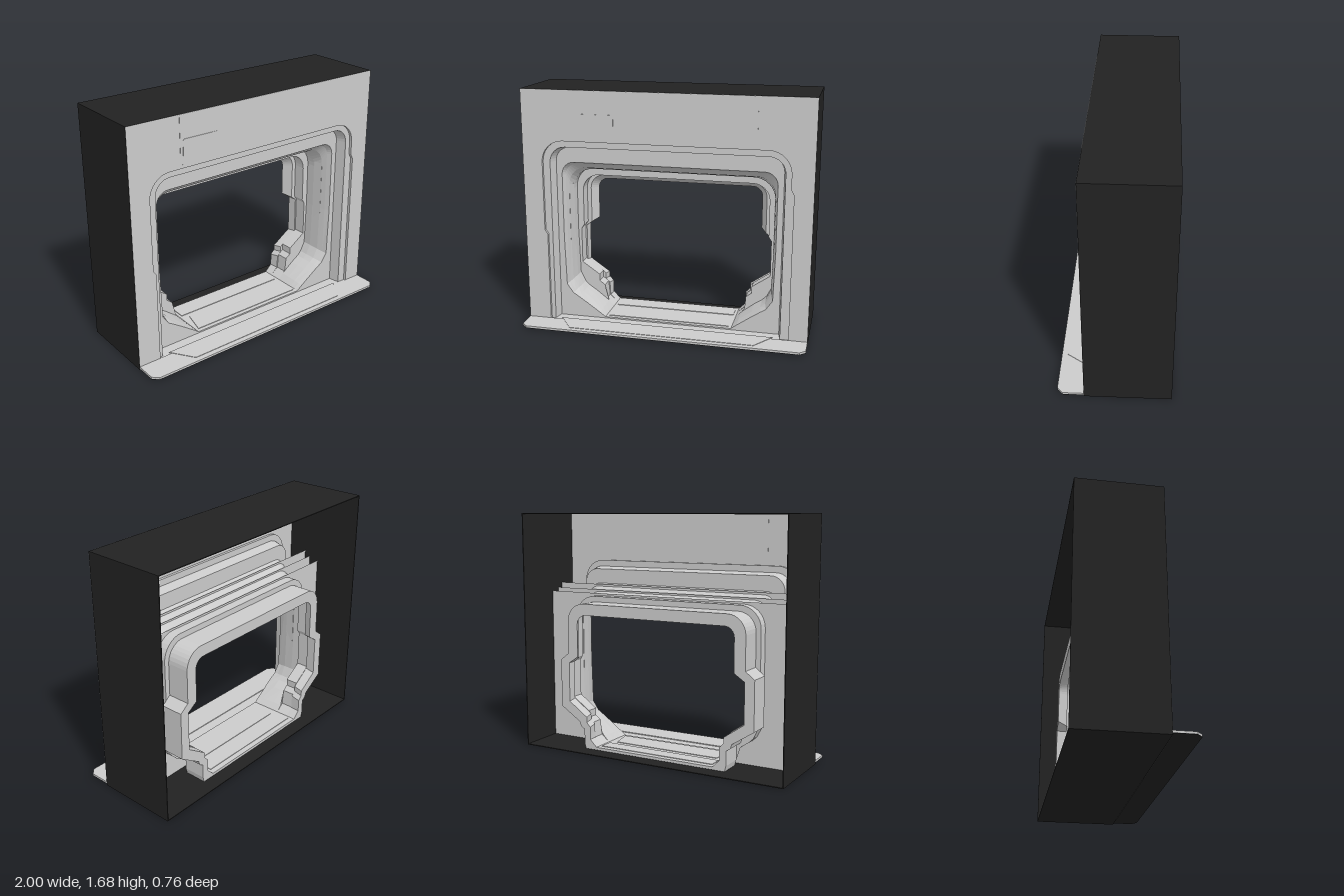
import * as THREE from 'three';

const GREY = new THREE.MeshStandardMaterial({ color: 0xcccccc, side: THREE.DoubleSide, flatShading: true });
const BLACK = new THREE.MeshStandardMaterial({ color: 0x222222, side: THREE.DoubleSide, flatShading: true });

// Closed opening outline: side points (bottom to top) and rounded top corners.
function outline(top, r, right, left = right) {
  const half = (pts) => {
    const out = pts.map(([x, y]) => new THREE.Vector2(x, y));
    const w = pts[pts.length - 1][0];
    for (let i = 0; i <= 8; i++) {
      const a = (i / 8) * Math.PI / 2;
      out.push(new THREE.Vector2(w - r + r * Math.cos(a), top - r + r * Math.sin(a)));
    }
    return out;
  };
  const mirrored = half(left).map((p) => new THREE.Vector2(-p.x, p.y)).reverse();
  return [...half(right), ...mirrored];
}

const blend = (a, b, t) => a.map((p, i) => p.clone().lerp(b[i], t));

// Skin through a chain of [outline, z] sections.
function loft(sections) {
  const pos = [], index = [], n = sections[0][0].length;
  for (const [pts, z] of sections) for (const p of pts) pos.push(p.x, p.y, z);
  for (let s = 0; s < sections.length - 1; s++) {
    for (let i = 0; i < n; i++) {
      const a = s * n + i, b = s * n + (i + 1) % n;
      index.push(a, a + n, b, b, a + n, b + n);
    }
  }
  const g = new THREE.BufferGeometry();
  g.setAttribute('position', new THREE.Float32BufferAttribute(pos, 3));
  g.setIndex(index);
  g.computeVertexNormals();
  return g;
}

// Flat sheet with one hole, at depth z.
function sheet(outer, hole, z) {
  const s = new THREE.Shape(outer);
  s.holes.push(new THREE.Path(hole));
  return new THREE.ShapeGeometry(s).translate(0, 0, z);
}

const points = (list) => list.map(([x, y]) => new THREE.Vector2(x, y));
const rect = (w, y0, y1) => points([[-w, y0], [w, y0], [w, y1], [-w, y1]]);

// Horizontal slab from an x/z polygon, top at y.
function slab(list, y, thick) {
  return new THREE.ExtrudeGeometry(new THREE.Shape(points(list)), { depth: thick, bevelEnabled: false })
    .rotateX(Math.PI / 2).translate(0, y, 0);
}

// Upright raised panel from an x/y polygon.
function raised(list, z, thick) {
  return new THREE.ExtrudeGeometry(new THREE.Shape(points(list)), { depth: thick, bevelEnabled: false })
    .translate(0, 0, z);
}

export function createModel() {
  const model = new THREE.Group();
  const add = (name, geometry, material = GREY) => {
    const m = new THREE.Mesh(geometry, material);
    m.name = name;
    model.add(m);
    return m;
  };
  const H = 1.68, T = 0.006, D = 0.579, ZC = -0.0905;

  // Dark casing, open at the back
  for (const s of [-1, 1]) {
    add('casingSide', new THREE.BoxGeometry(T, H, D).translate(s * (1 - T / 2), H / 2, ZC), BLACK);
  }
  add('casingTop', new THREE.BoxGeometry(2, T, D).translate(0, H - T / 2, ZC), BLACK);
  add('casingBottom', new THREE.BoxGeometry(2, T, D).translate(0, T / 2, ZC), BLACK);

  // Outlines from the front opening to the rear frame
  const arch = outline(1.33, 0.15,
    [[0.87, 0.02], [0.87, 1.04], [0.85, 1.08]],
    [[0.84, 0.02], [0.84, 0.66], [0.86, 0.69]]);
  const recess = outline(1.285, 0.11, [[0.81, 0.02], [0.81, 0.5], [0.81, 0.6]]);
  const recessIn = outline(1.27, 0.1, [[0.795, 0.02], [0.795, 0.5], [0.795, 0.6]]);
  const mouth = outline(1.165, 0.09, [[0.46, 0.03], [0.5, 0.06], [0.6, 0.13], [0.66, 0.17],
    [0.7, 0.195], [0.745, 0.26], [0.755, 0.62], [0.755, 0.66]]);
  const mouthIn = outline(1.145, 0.08, [[0.46, 0.03], [0.5, 0.065], [0.6, 0.135], [0.655, 0.175],
    [0.695, 0.2], [0.735, 0.265], [0.742, 0.62], [0.742, 0.66]]);
  const throat = outline(1.09, 0.15, [[0.46, 0.03], [0.5, 0.07], [0.59, 0.14], [0.65, 0.18],
    [0.68, 0.21], [0.715, 0.28], [0.725, 0.62], [0.725, 0.66]]);
  const step = outline(1.03, 0.12, [[0.46, 0.03], [0.52, 0.08], [0.53, 0.19], [0.57, 0.22],
    [0.57, 0.27], [0.7, 0.36], [0.7, 0.62], [0.68, 0.65]]);
  const inner = outline(1.01, 0.1, [[0.46, 0.03], [0.515, 0.08], [0.52, 0.18], [0.55, 0.21],
    [0.55, 0.25], [0.69, 0.35], [0.69, 0.62], [0.65, 0.65]]);
  const rear = outline(0.97, 0.07, [[0.46, 0.03], [0.51, 0.08], [0.51, 0.17], [0.54, 0.2],
    [0.54, 0.24], [0.685, 0.34], [0.685, 0.62], [0.61, 0.67]]);
  const flange = outline(1.05, 0.13, [[0.55, 0.01], [0.56, 0.05], [0.56, 0.15], [0.59, 0.17],
    [0.6, 0.2], [0.755, 0.3], [0.755, 0.64], [0.69, 0.69]]);

  // Front face and stepped arch
  add('frontPanel', sheet(rect(1, 0, H), arch, 0.2));
  add('archStep', loft([[arch, 0.2], [arch, 0.18], [recess, 0.18], [recess, 0.17], [recessIn, 0.1]]));
  add('recessFace', sheet(recessIn, mouth, 0.1));

  // Tunnel through to the rear frame
  add('tunnel', loft([[mouth, 0.1], [mouthIn, 0.063], [blend(mouthIn, throat, 0.6), 0.02],
    [throat, -0.053], [throat, -0.12]]));
  add('rearFrame', loft([[throat, -0.12], [step, -0.12], [step, -0.21], [inner, -0.21],
    [rear, -0.28], [flange, -0.28], [flange, -0.12], [throat, -0.12]]));

  // Upright plates stacked behind the front
  add('firstPlate', sheet(rect(0.994, 0.005, 1.16), mouthIn, 0.063));
  add('secondPlate', sheet(rect(0.994, 0.005, 1.125), blend(mouthIn, throat, 0.6), 0.02));
  add('rearPlate', sheet(rect(0.994, 0.005, 1.105), throat, -0.053));

  // Upper cover and small label plate
  add('upperCover', raised([[-0.63, 1.37], [-0.61, 1.35], [0.605, 1.35], [0.625, 1.37],
    [0.625, 1.679], [-0.63, 1.679]], 0.199, 0.003));
  add('smallPlate', raised([[-0.61, 1.385], [-0.445, 1.385], [-0.425, 1.4], [-0.345, 1.4],
    [-0.345, 1.52], [-0.6, 1.52], [-0.61, 1.51]], 0.201, 0.004));

  // Front ledge with its raised tread
  const ledge = [[-1, 0.198], [1, 0.198], [1, 0.34], [0.96, 0.378], [-0.96, 0.378], [-1, 0.34]];
  add('ledge', slab(ledge, 0.026, 0.014));
  add('ledgeUnderside', slab(ledge, 0.0119, 0.002), BLACK);
  add('ledgeTread', slab([[-0.76, 0.18], [0.76, 0.18], [0.65, 0.34], [-0.65, 0.34]], 0.029, 0.006));

  // Floor panels in the tunnel
  add('floorPanel', slab([[-0.44, 0.07], [0.44, 0.07], [0.4, -0.1], [-0.4, -0.1]], 0.034, 0.006));
  add('floorStrip', slab([[-0.44, -0.14], [0.44, -0.14], [0.44, -0.24], [-0.44, -0.24]], 0.034, 0.006));

  // Thin raised panels on the tunnel side walls
  for (const s of [-1, 1]) {
    const panel = add('wallPanel', new THREE.BoxGeometry(0.006, 0.62, 0.07));
    panel.position.set(s * 0.73, 0.67, -0.01);
    panel.rotation.y = s * 0.13;
  }
  return model;
}
